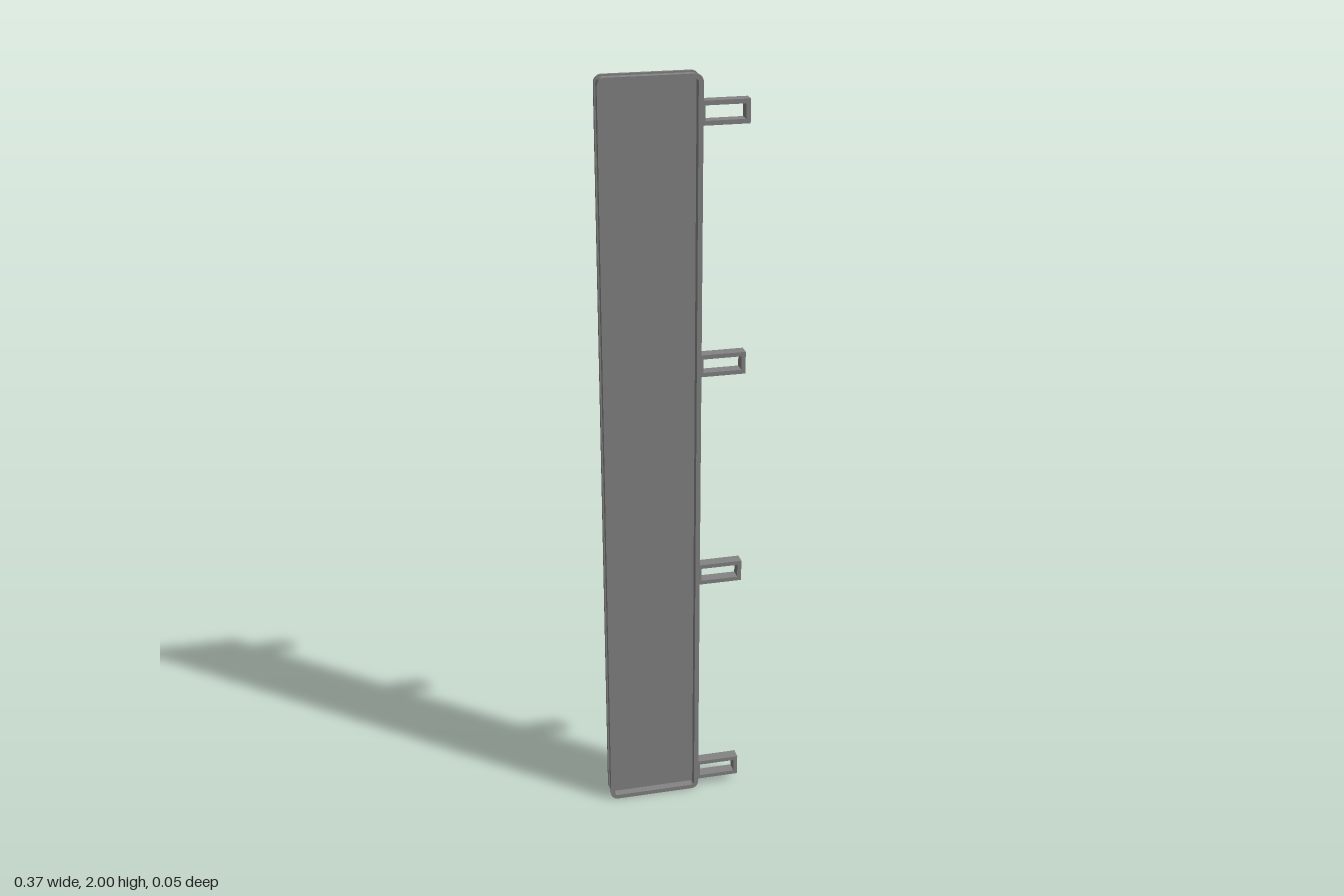
import * as THREE from 'three';

const material = new THREE.MeshStandardMaterial({ color: 0x848484 });

// Trace a rounded rectangle onto a Shape or Path
function roundedRect(path, x0, y0, x1, y1, r) {
  path.moveTo(x0 + r, y0);
  path.lineTo(x1 - r, y0);
  path.absarc(x1 - r, y0 + r, r, -Math.PI / 2, 0);
  path.lineTo(x1, y1 - r);
  path.absarc(x1 - r, y1 - r, r, 0, Math.PI / 2);
  path.lineTo(x0 + r, y1);
  path.absarc(x0 + r, y1 - r, r, Math.PI / 2, Math.PI);
  path.lineTo(x0, y0 + r);
  path.absarc(x0 + r, y0 + r, r, Math.PI, Math.PI * 1.5);
  return path;
}

function rect(path, x0, y0, x1, y1) {
  path.moveTo(x0, y0);
  path.lineTo(x1, y0);
  path.lineTo(x1, y1);
  path.lineTo(x0, y1);
  path.closePath();
  return path;
}

// Extrude a shape between two z planes
function slab(name, shape, z0, z1) {
  const geometry = new THREE.ExtrudeGeometry(shape, { depth: z1 - z0, bevelEnabled: false, curveSegments: 8 });
  geometry.translate(0, 0, z0);
  const mesh = new THREE.Mesh(geometry, material);
  mesh.name = name;
  return mesh;
}

// Panel outline, inset from its outer edge
const X0 = -0.183, X1 = 0.067, HEIGHT = 2, RADIUS = 0.02;
const outline = (path, inset) =>
  roundedRect(path, X0 + inset, inset, X1 - inset, HEIGHT - inset, RADIUS - inset);

function frame(name, outerInset, z0, z1) {
  const shape = outline(new THREE.Shape(), outerInset);
  shape.holes.push(outline(new THREE.Path(), 0.012));
  return slab(name, shape, z0, z1);
}

// Hollow rectangular mounting loop centred on height y
function bracket(y) {
  const shape = rect(new THREE.Shape(), 0.062, y - 0.029, 0.183, y + 0.029);
  shape.holes.push(rect(new THREE.Path(), 0.074, y - 0.018, 0.172, y + 0.018));
  return slab('mountingBracket', shape, -0.015, 0.015);
}

export function createModel() {
  const model = new THREE.Group();
  model.name = 'bracketedPanel';

  // Thin sheet, deeply recessed, with a grooved edge between two raised rims
  model.add(slab('panelSheet', outline(new THREE.Shape(), 0.01), -0.003, 0.003));
  model.add(frame('edgeBand', 0.004, -0.015, 0.015));
  model.add(frame('frontRim', 0, 0.015, 0.024));
  model.add(frame('backRim', 0, -0.024, -0.015));

  // Row of brackets along the left edge
  for (const y of [0.052, 0.682, 1.276, 1.906]) model.add(bracket(y));

  return model;
}
